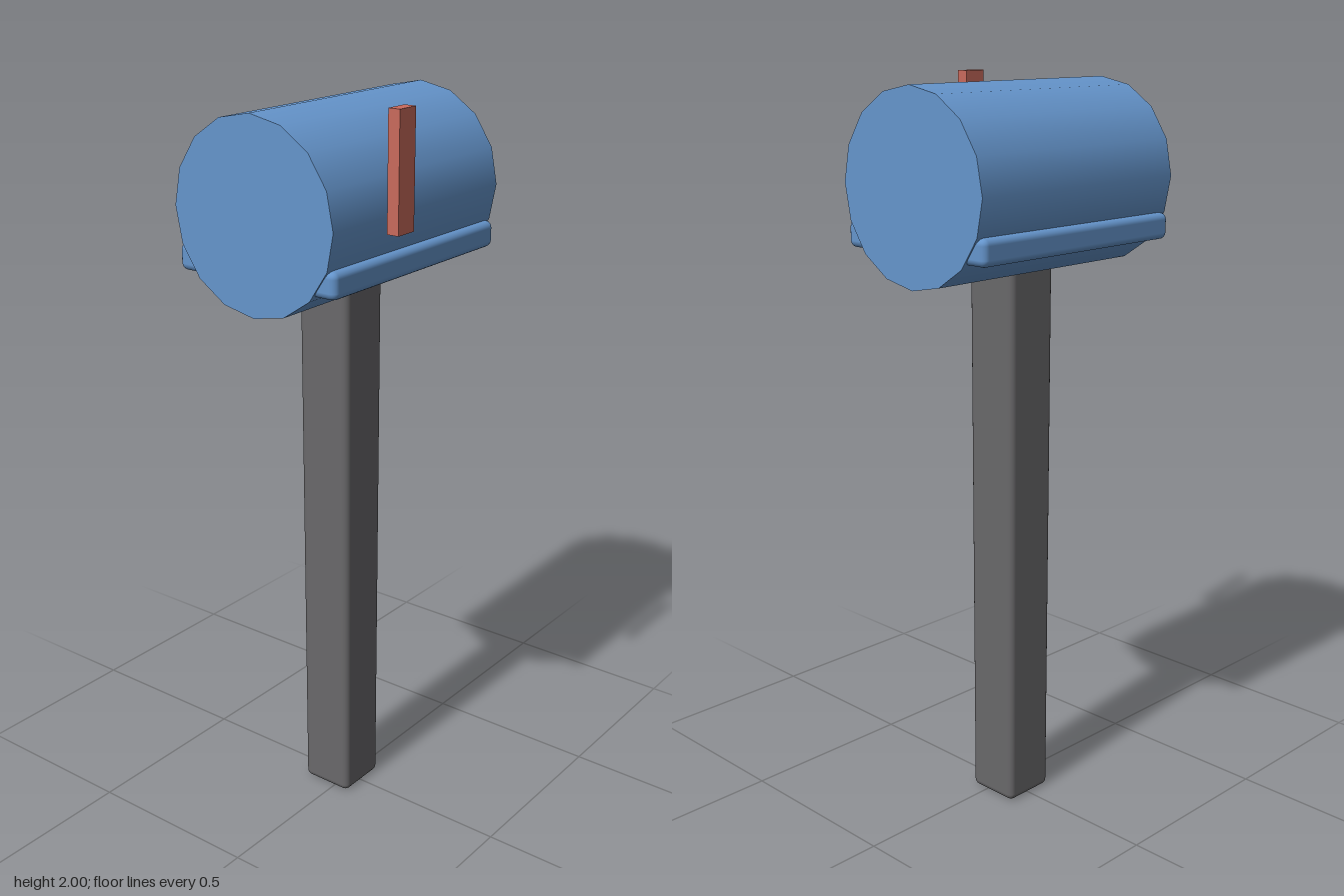
import * as THREE from 'three';
import { RoundedBoxGeometry } from 'three/addons/geometries/RoundedBoxGeometry.js';

const material = (name, color) => {
  const m = new THREE.MeshStandardMaterial({ color });
  m.name = name;
  return m;
};

export function createModel() {
  const model = new THREE.Group();
  model.name = 'mailbox';
  const blue = material('blue', 0x6595cc);
  const grey = material('grey', 0x69686a);
  const red = material('red', 0xc96a5c);
  const centerX = -0.025;

  const add = (name, geometry, mat, x, y, z) => {
    const mesh = new THREE.Mesh(geometry, mat);
    mesh.name = name;
    mesh.position.set(x, y, z);
    model.add(mesh);
    return mesh;
  };

  // Sixteen-sided barrel lying along z, with flat end caps
  const barrel = new THREE.CylinderGeometry(0.247, 0.247, 0.695, 16);
  barrel.rotateX(Math.PI / 2);
  add('barrel', barrel, blue, centerX, 1.739, 0);

  // Slab through the lower barrel, showing as a rail on each side
  add('sideRails', new RoundedBoxGeometry(0.494, 0.07, 0.686, 2, 0.018), blue, centerX, 1.609, 0);

  // Square post with softened edges, slightly narrower at the foot
  const post = new RoundedBoxGeometry(0.158, 1.56, 0.158, 2, 0.018);
  const p = post.attributes.position;
  for (let i = 0; i < p.count; i++) {
    if (p.getY(i) < 0) {
      p.setX(i, p.getX(i) * 0.97);
      p.setZ(i, p.getZ(i) * 0.97);
    }
  }
  add('post', post, grey, centerX - 0.001, 0.78, 0);

  // Upright signal flag beside the barrel
  add('flag', new THREE.BoxGeometry(0.033, 0.296, 0.064), red, 0.256, 1.852, 0.131);

  return model;
}
